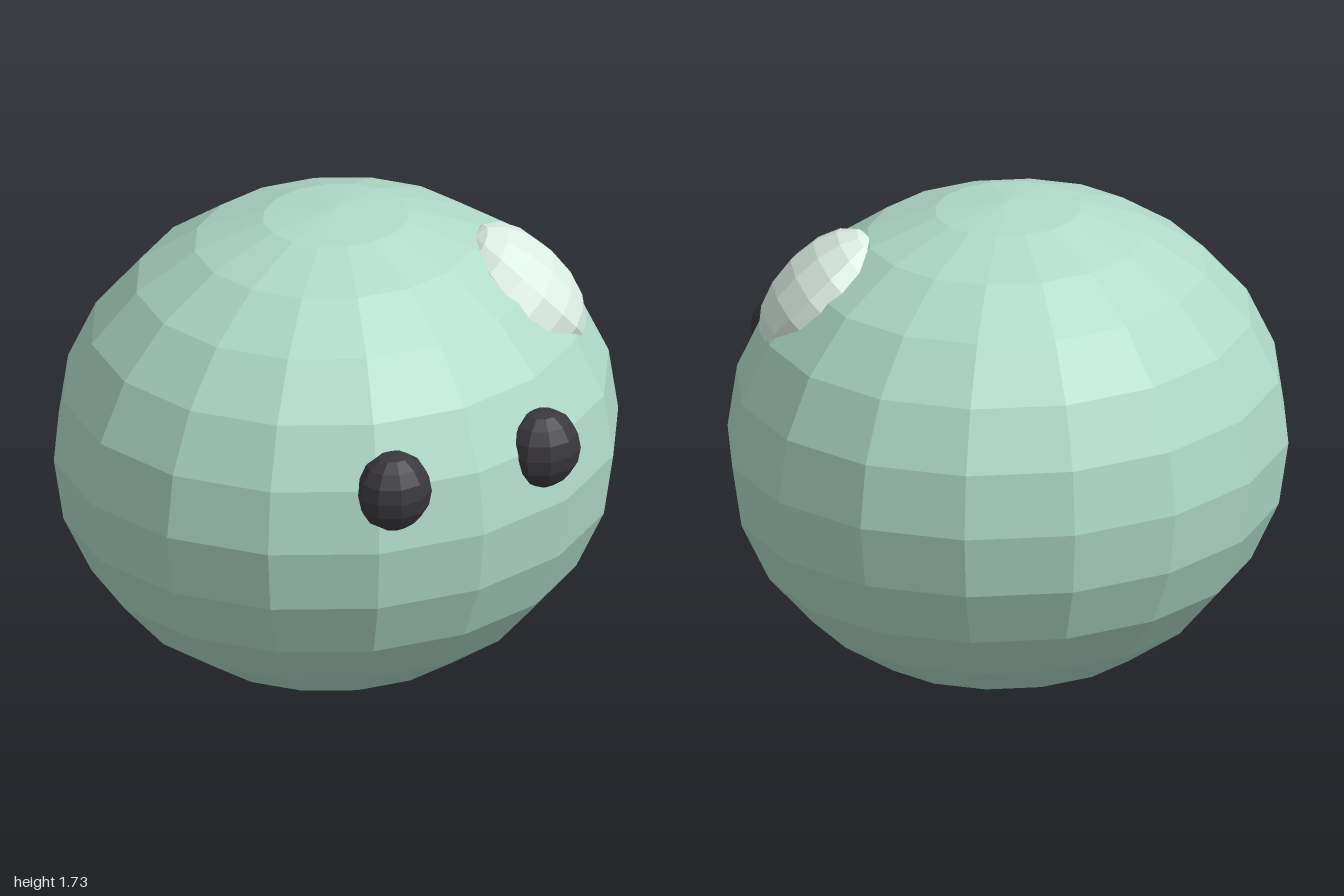
import * as THREE from 'three';

const material = (color) => new THREE.MeshStandardMaterial({ color, flatShading: true });

// Faceted ellipsoid with the given radii and centre
function ellipsoid(name, radii, centre, segments, rings, mat) {
  const geometry = new THREE.SphereGeometry(1, segments, rings);
  geometry.scale(...radii);
  const mesh = new THREE.Mesh(geometry, mat);
  mesh.name = name;
  mesh.position.set(...centre);
  return mesh;
}

export function createModel() {
  const model = new THREE.Group();
  model.name = 'roundCreature';

  // Squashed round body
  model.add(ellipsoid('body', [1, 0.867, 0.93], [0, 0.867, -0.01], 16, 12, material(0xb0dac9)));

  // Pair of eyes, half sunk into the body
  const eyeMaterial = material(0x3a383d);
  for (const side of [-1, 1]) {
    const name = side > 0 ? 'leftEye' : 'rightEye';
    model.add(ellipsoid(name, [0.136, 0.141, 0.122], [side * 0.305, 1.078, 0.82], 10, 8, eyeMaterial));
  }

  // Flattened highlight spot lying on the upper left of the body
  const spot = ellipsoid('highlight', [0.26, 0.26, 0.13], [0.56, 1.43, 0.33], 10, 8, material(0xdcefe5));
  spot.lookAt(spot.position.clone().add(new THREE.Vector3(0.6, 0.7, 0.375)));
  model.add(spot);

  return model;
}
